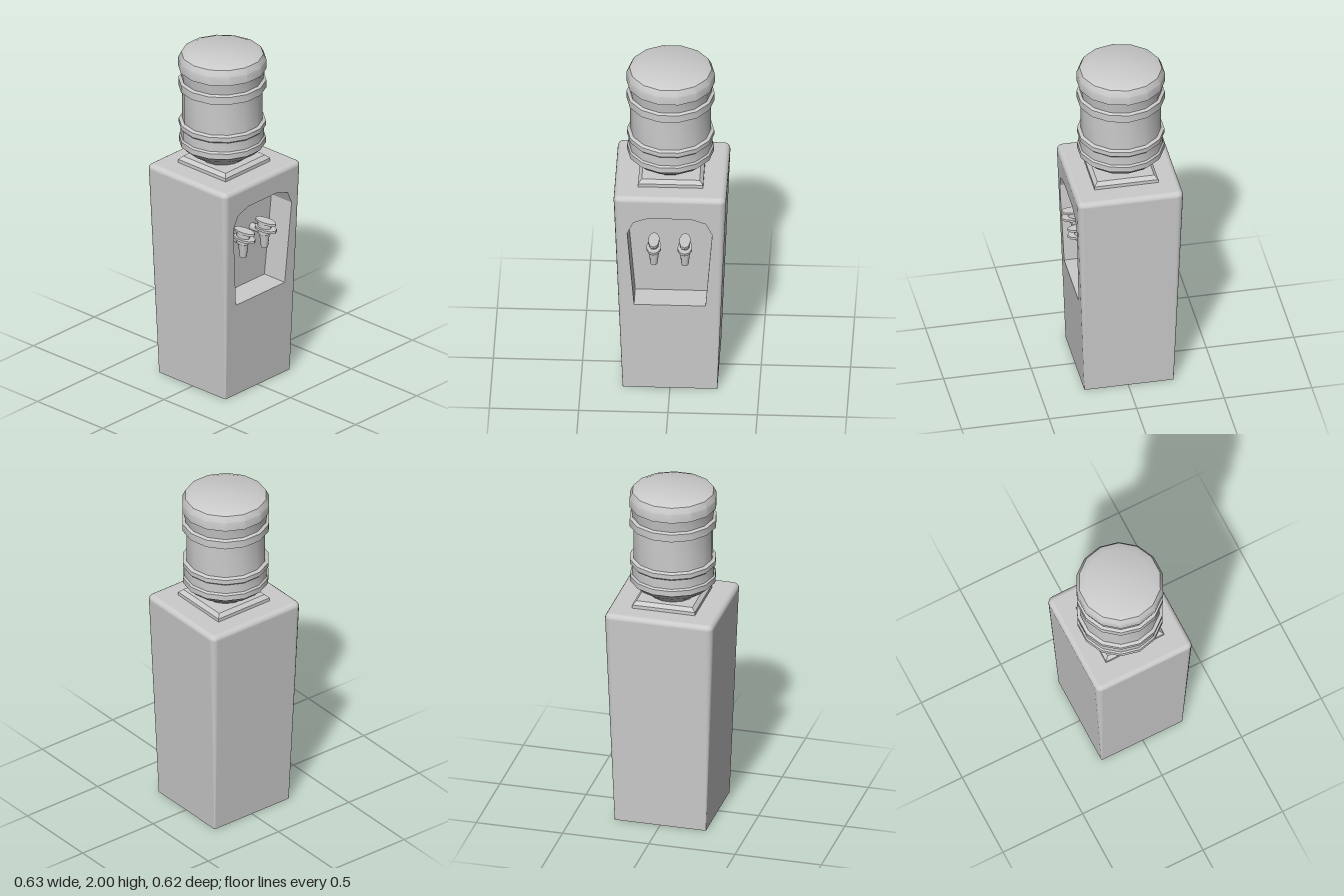
import * as THREE from 'three';
import { toCreasedNormals } from 'three/addons/utils/BufferGeometryUtils.js';

const grey = new THREE.MeshStandardMaterial({ color: 0xcccccc, side: THREE.DoubleSide });

function add(parent, name, geometry, x = 0, y = 0, z = 0) {
  const mesh = new THREE.Mesh(geometry, grey);
  mesh.name = name;
  mesh.position.set(x, y, z);
  parent.add(mesh);
  return mesh;
}

// Cabinet dimensions: it widens towards the top
const H = 1.27, RISE = 0.03;
const frontZ = (y) => 0.25 + (0.045 * y) / H;
const RECESS_DEPTH = 0.155;
const opening = [
  [-0.2, 0.57], [0.2, 0.57], [0.238, 1.06], [0.203, 1.135],
  [0.12, 1.165], [-0.12, 1.165], [-0.203, 1.135], [-0.238, 1.06],
].map(([x, y]) => new THREE.Vector2(x, y));

// Rounded-rectangle rings joined upwards; the front flat of the first tier is left out
function shellGeometry() {
  const steps = 3;
  const rings = [
    { y: 0, hx: 0.265, back: -0.26, front: 0.25, r: 0.006, tilt: -0.04 },
    { y: H, hx: 0.315, back: -0.31, front: 0.295, r: 0.036, tilt: -0.04 },
  ];
  for (let i = 1; i <= 4; i++) {
    const t = (i / 4) * Math.PI / 2, inset = RISE * (1 - Math.cos(t));
    rings.push({
      y: H + RISE * Math.sin(t), hx: 0.315 - inset, back: -0.31 + inset,
      front: 0.295 - inset, r: 0.036 - inset, tilt: t,
    });
  }
  rings.push({ y: H + RISE, hx: 0, back: 0, front: 0, r: 0, tilt: Math.PI / 2 });

  const pos = [], nor = [], index = [], n = 4 * (steps + 1);
  for (const g of rings) {
    for (let c = 0; c < 4; c++) {
      for (let s = 0; s <= steps; s++) {
        const a = (c + s / steps) * Math.PI / 2;
        const cx = (c === 0 || c === 3 ? 1 : -1) * (g.hx - g.r);
        const cz = c < 2 ? g.front - g.r : g.back + g.r;
        pos.push(cx + g.r * Math.cos(a), g.y, cz + g.r * Math.sin(a));
        const w = Math.cos(g.tilt);
        nor.push(w * Math.cos(a), Math.sin(g.tilt), w * Math.sin(a));
      }
    }
  }
  for (let k = 0; k < rings.length - 1; k++) {
    for (let i = 0; i < n; i++) {
      if (k === 0 && i === steps) continue;
      const j = (i + 1) % n, a = k * n + i, b = k * n + j;
      index.push(a, a + n, b, b, a + n, b + n);
    }
  }
  const geo = new THREE.BufferGeometry();
  geo.setAttribute('position', new THREE.Float32BufferAttribute(pos, 3));
  geo.setAttribute('normal', new THREE.Float32BufferAttribute(nor, 3));
  geo.setIndex(index);
  return geo;
}

// Flat shape leaned onto the sloping front plane
function leanedShape(shape, depth) {
  const geo = new THREE.ShapeGeometry(shape), p = geo.attributes.position;
  for (let i = 0; i < p.count; i++) p.setZ(i, frontZ(p.getY(i)) - depth);
  geo.computeVertexNormals();
  return geo;
}

function recessWalls() {
  const pos = [];
  opening.forEach((a, i) => {
    const b = opening[(i + 1) % opening.length];
    const af = [a.x, a.y, frontZ(a.y)], bf = [b.x, b.y, frontZ(b.y)];
    const ab = [a.x, a.y, af[2] - RECESS_DEPTH], bb = [b.x, b.y, bf[2] - RECESS_DEPTH];
    pos.push(...af, ...bf, ...bb, ...af, ...bb, ...ab);
  });
  const geo = new THREE.BufferGeometry();
  geo.setAttribute('position', new THREE.Float32BufferAttribute(pos, 3));
  geo.computeVertexNormals();
  return geo;
}

function makeCabinet() {
  const cabinet = new THREE.Group();
  cabinet.name = 'cabinet';
  add(cabinet, 'cabinetShell', shellGeometry());
  const front = new THREE.Shape([[-0.259, 0], [0.259, 0], [0.279, H], [-0.279, H]]
    .map(([x, y]) => new THREE.Vector2(x, y)));
  front.holes.push(new THREE.Path(opening.slice().reverse()));
  add(cabinet, 'frontPanel', leanedShape(front, 0));
  add(cabinet, 'recessWalls', recessWalls());
  add(cabinet, 'recessBack', leanedShape(new THREE.Shape(opening), RECESS_DEPTH));
  return cabinet;
}

// Oval low-sided disc lying flat
function oval(halfWidth, halfLength, height) {
  const geo = new THREE.CylinderGeometry(1, 1, height, 10);
  geo.scale(halfWidth, 1, halfLength);
  return toCreasedNormals(geo, 0.8);
}

function makeTap(x) {
  const tap = new THREE.Group();
  tap.name = 'tap';
  tap.position.x = x;
  const stem = new THREE.CylinderGeometry(0.022, 0.022, 0.13, 8);
  stem.rotateX(Math.PI / 2);
  add(tap, 'tapStem', stem, 0, 0.915, 0.185);
  add(tap, 'spout', toCreasedNormals(new THREE.CylinderGeometry(0.03, 0.02, 0.09, 8), 0.9), 0, 0.865, 0.225);
  add(tap, 'collar', oval(0.034, 0.04, 0.025), 0, 0.918, 0.225);
  add(tap, 'lowerFlange', oval(0.042, 0.075, 0.014), 0, 0.936, 0.235);
  add(tap, 'leverNeck', oval(0.028, 0.045, 0.035), 0, 0.958, 0.225);
  add(tap, 'lever', oval(0.032, 0.075, 0.014), 0, 0.979, 0.235);
  return tap;
}

// Square collar with chamfered upper edge, carrying the bottle
function makeSeat(parent) {
  const seat = new THREE.Group();
  seat.name = 'bottleSeat';
  seat.position.set(0, 1.295, -0.007);
  const tier = (name, bottom, top, height, y) => {
    const geo = new THREE.CylinderGeometry(top * Math.SQRT2, bottom * Math.SQRT2, height, 4).toNonIndexed();
    geo.rotateY(Math.PI / 4);
    geo.computeVertexNormals();
    add(seat, name, geo, 0, y + height / 2, 0);
  };
  tier('seatBase', 0.182, 0.182, 0.025, 0);
  tier('seatChamfer', 0.182, 0.162, 0.02, 0.025);
  parent.add(seat);
}

function makeBottle(parent) {
  const profile = [
    [0, 1.335], [0.125, 1.34], [0.135, 1.35], [0.21, 1.4], [0.232, 1.425],
    [0.244, 1.432], [0.244, 1.465], [0.235, 1.475], [0.235, 1.53],
    [0.245, 1.54], [0.245, 1.567], [0.226, 1.575], [0.226, 1.77],
    [0.247, 1.775], [0.247, 1.82], [0.23, 1.828], [0.24, 1.89],
    [0.248, 1.893], [0.248, 1.945], [0.231, 1.98], [0.19, 1.997], [0, 2],
  ].map(([r, y]) => new THREE.Vector2(r, y));
  const geo = new THREE.LatheGeometry(profile, 14, Math.PI / 2);
  add(parent, 'waterBottle', toCreasedNormals(geo, 0.6), -0.008, 0, -0.013);
}

export function createModel() {
  const model = new THREE.Group();
  model.name = 'waterDispenser';
  model.add(makeCabinet());
  for (const x of [-0.091, 0.083]) model.add(makeTap(x));
  makeSeat(model);
  makeBottle(model);
  return model;
}
